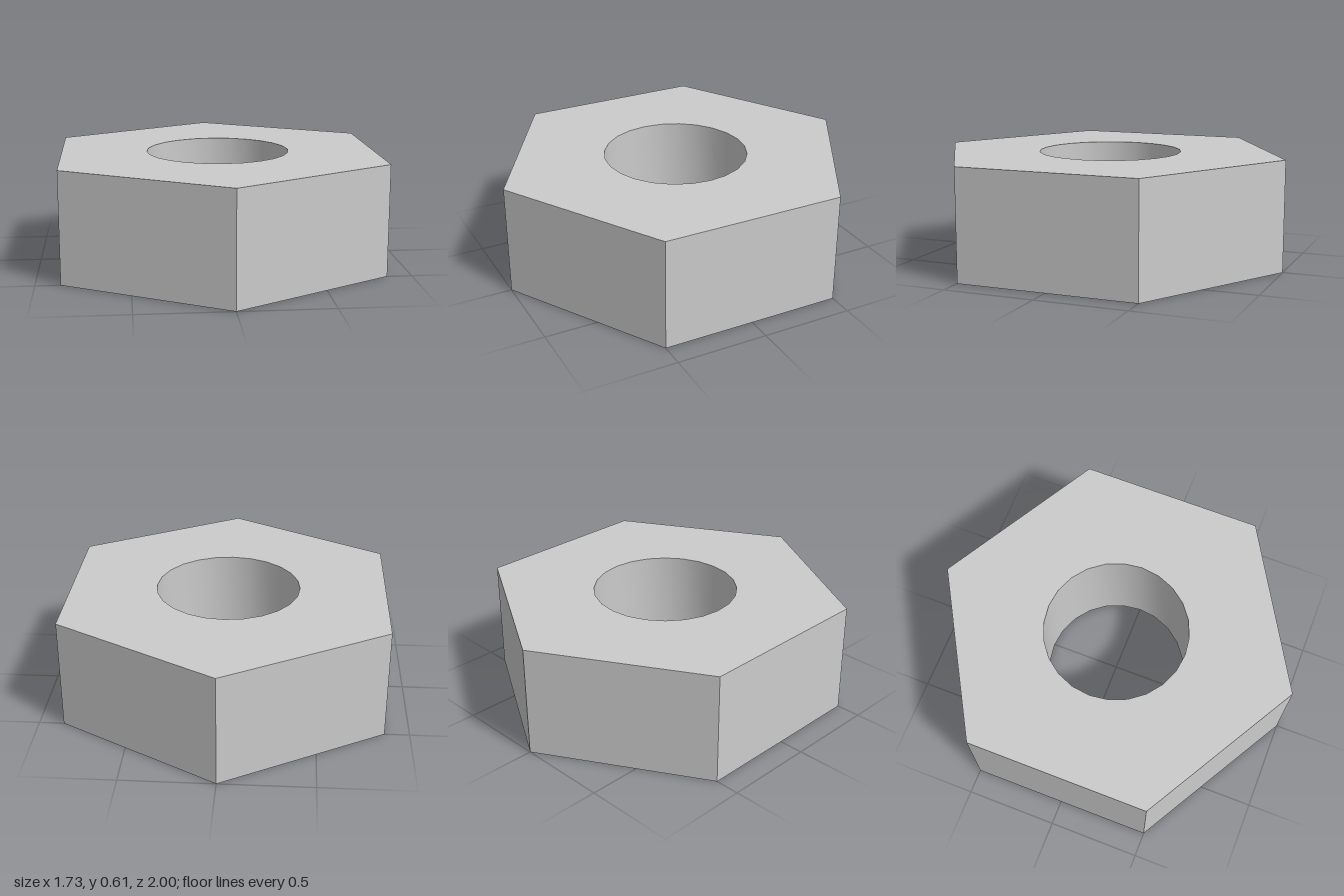
import * as THREE from 'three';
import { toCreasedNormals } from 'three/addons/utils/BufferGeometryUtils.js';

const HEIGHT = 0.61;
const OUTER_RADIUS = 1;
const BORE_RADIUS = 0.395;

// Corners of a regular polygon with one corner on the +y axis of the shape
function polygon(sides, radius) {
  return Array.from({ length: sides }, (_, i) => {
    const a = Math.PI / 2 + (i / sides) * Math.PI * 2;
    return new THREE.Vector2(radius * Math.cos(a), radius * Math.sin(a));
  });
}

export function createModel() {
  const group = new THREE.Group();
  group.name = 'nut';

  // Hexagonal body with a round through-bore
  const outline = new THREE.Shape(polygon(6, OUTER_RADIUS));
  outline.holes.push(new THREE.Path(polygon(24, BORE_RADIUS)));
  const extruded = new THREE.ExtrudeGeometry(outline, { depth: HEIGHT, bevelEnabled: false });
  extruded.rotateX(-Math.PI / 2);

  // Smooth bore, sharp hexagon and rim edges
  const geometry = toCreasedNormals(extruded, Math.PI / 6);
  const body = new THREE.Mesh(geometry, new THREE.MeshStandardMaterial({ color: 0xcccccc }));
  body.name = 'hexNutBody';
  group.add(body);

  return group;
}
